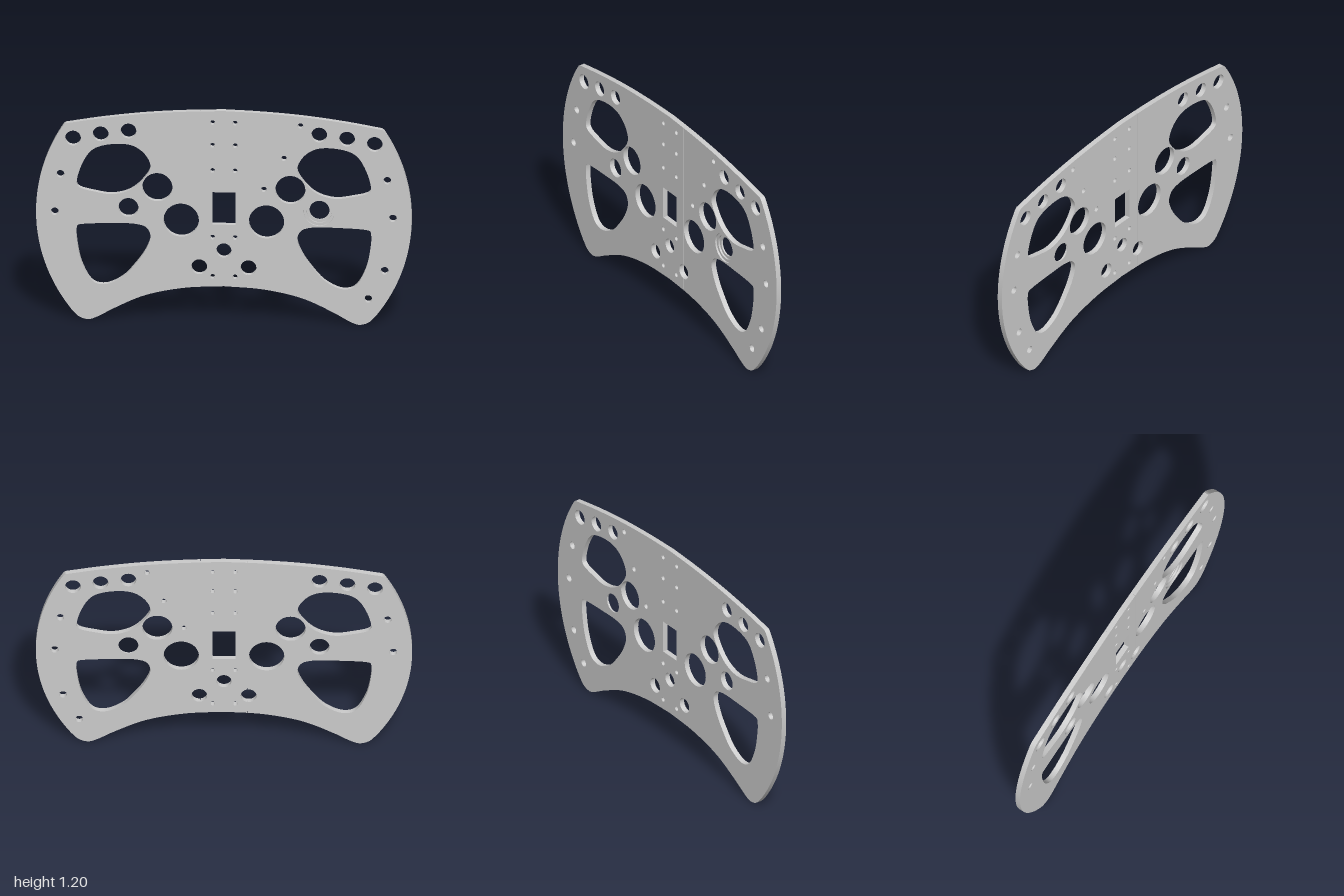
import * as THREE from 'three';
import { toCreasedNormals } from 'three/addons/utils/BufferGeometryUtils.js';

const HALF = 0.0145; // half of the plate thickness
const SEAM = 0.126;  // lap joint: front seam at +SEAM, back seam at -SEAM
const GAP = 0.001;
const NOTCH = { x: 0.131, y: 0.312, r: 0.042 }; // hole cut through by the seam
const DIAL = { x: 0.508, y: 0.642, outer: 0.083, middle: 0.068, inner: 0.053 };

const material = new THREE.MeshStandardMaterial({ color: 0xcccccc });

// Smooth curve through [x, y] pairs
function spline(pairs, closed, count) {
  const curve = new THREE.CatmullRomCurve3(pairs.map(([x, y]) => new THREE.Vector3(x, y, 0)), closed, 'centripetal');
  const pts = curve.getPoints(count).map(p => new THREE.Vector2(p.x, p.y));
  if (closed) pts.pop();
  return pts;
}

// Mirrors to the other side and keeps the winding
const mirror = pts => pts.map(p => new THREE.Vector2(-p.x, p.y)).reverse();

function circle(x, y, r) {
  const n = r > 0.03 ? 48 : 24;
  return Array.from({ length: n }, (_, i) => {
    const a = i / n * Math.PI * 2;
    return new THREE.Vector2(x + r * Math.cos(a), y + r * Math.sin(a));
  });
}

// Whole rim of the wheel, built from one side
function outline() {
  const top = spline([[0, 1.203], [0.2, 1.195], [0.42, 1.178], [0.65, 1.148], [0.843, 1.114]], false, 24);
  const side = [];
  for (let i = 0; i < 48; i++) {
    const a = 0.575 - i / 48 * 1.23;
    side.push(new THREE.Vector2(0.091 + 0.909 * Math.cos(a), 0.61 + 0.909 * Math.sin(a)));
  }
  const bottom = spline([[0.812, 0.056], [0.77, 0.014], [0.72, 0], [0.675, 0.015], [0.59, 0.063],
    [0.42, 0.143], [0.21, 0.19], [0, 0.204]], false, 60);
  const half = [...top, ...side, ...bottom];
  return [...half, ...mirror(half).slice(1, -1)];
}

// Keeps the part of the outline on one side (s) of x = c, with an arc where the seam meets a hole
function clip(pts, s, c, notchX) {
  const out = [];
  const inside = p => (p.x - c) * s > 0;
  pts.forEach((p, i) => {
    const q = pts[(i + 1) % pts.length];
    if (inside(p)) out.push(p);
    if (inside(p) === inside(q)) return;
    const hit = p.clone().lerp(q, (c - p.x) / (q.x - p.x));
    out.push(hit);
    if (!inside(p)) return;
    const a = Math.acos(s * (c - notchX) / NOTCH.r);
    const arc = [];
    for (let k = 0; k <= 24; k++) {
      const t = a * (k / 12 - 1);
      arc.push(new THREE.Vector2(notchX + s * NOTCH.r * Math.cos(t), NOTCH.y + NOTCH.r * Math.sin(t)));
    }
    out.push(...(hit.y > NOTCH.y ? arc.reverse() : arc));
  });
  return out;
}

// All openings as { x, pts }, each running anticlockwise
function openings(front) {
  const list = [];
  const hole = (x, y, r) => list.push({ x, pts: circle(x, y, r) });
  const pair = (x, y, r) => { hole(x, y, r); hole(-x, y, r); };

  // Hand grips
  const upper = spline([[0.783, 0.772], [0.755, 0.884], [0.696, 0.97], [0.579, 1.003], [0.48, 0.992], [0.415, 0.94],
    [0.391, 0.875], [0.429, 0.804], [0.495, 0.744], [0.589, 0.716], [0.685, 0.728], [0.77, 0.752]], true, 84);
  const lower = spline([[0.785, 0.505], [0.778, 0.535], [0.755, 0.542], [0.605, 0.55], [0.472, 0.549], [0.413, 0.53],
    [0.391, 0.483], [0.413, 0.408], [0.472, 0.318], [0.541, 0.243], [0.632, 0.201], [0.696, 0.216], [0.755, 0.318], [0.782, 0.45]], true, 84);
  for (const pts of [upper, lower]) list.push({ x: 0.6, pts }, { x: -0.6, pts: mirror(pts) });

  // Button and dial holes
  pair(0.803, 1.031, 0.042);
  pair(0.656, 1.058, 0.042);
  pair(0.508, 1.078, 0.042);
  pair(0.354, 0.761, 0.08);
  pair(0.227, 0.576, 0.094);
  hole(-DIAL.x, DIAL.y, DIAL.inner);
  hole(DIAL.x, DIAL.y, front ? DIAL.outer : DIAL.middle);
  hole(0, 0.408, 0.04);
  hole(front ? -NOTCH.x : NOTCH.x, NOTCH.y, NOTCH.r);

  // Screw holes
  pair(0.87, 0.826, 0.021);
  pair(0.9, 0.611, 0.021);
  hole(0.856, 0.312, 0.021);
  hole(0.769, 0.149, 0.021);
  for (const [x, y] of [[0.408, 1.128], [0.32, 0.94], [0.213, 0.761]]) hole(x, y, 0.015);
  for (const y of [1.136, 1.007, 0.863, 0.483, 0.259]) pair(0.06, y, 0.013);

  // Rectangular centre window
  const window = [[-0.061, 0.555], [0.061, 0.555], [0.061, 0.739], [-0.061, 0.739]];
  list.push({ x: 0, pts: window.map(([x, y]) => new THREE.Vector2(x, y)) });
  return list;
}

// One layer (front or back) of one half of the plate
function layer(front, s, name) {
  const c = front ? SEAM : -SEAM;
  const shape = new THREE.Shape(clip(outline(), s, c + s * GAP, front ? NOTCH.x : -NOTCH.x));
  for (const o of openings(front)) if ((o.x - c) * s > 0) shape.holes.push(new THREE.Path(o.pts));
  const geo = new THREE.ExtrudeGeometry(shape, { depth: HALF, bevelEnabled: false });
  geo.translate(0, 0, front ? 0 : -HALF);
  const mesh = new THREE.Mesh(toCreasedNormals(geo, 0.5), material);
  mesh.name = name;
  return mesh;
}

export function createModel() {
  const group = new THREE.Group();
  group.name = 'steeringWheelPlate';

  // Two halves joined by a half lap
  for (const [s, name] of [[1, 'leftHalf'], [-1, 'rightHalf']]) {
    const half = new THREE.Group();
    half.name = name;
    half.add(layer(true, s, name + 'FrontLayer'), layer(false, s, name + 'BackLayer'));
    group.add(half);
  }

  // Stepped recess around the left dial hole, closed flush at the back
  const { outer, middle, inner } = DIAL;
  const profile = [[outer, 0.0045], [middle, 0.0045], [middle, -0.0055], [inner, -0.0055], [inner, -HALF], [middle, -HALF]]
    .map(([r, z]) => new THREE.Vector2(r, z));
  const recess = new THREE.Mesh(toCreasedNormals(new THREE.LatheGeometry(profile, 48), 0.5), material);
  recess.name = 'dialRecess';
  recess.rotation.x = Math.PI / 2;
  recess.position.set(DIAL.x, DIAL.y, 0);
  group.add(recess);

  return group;
}
